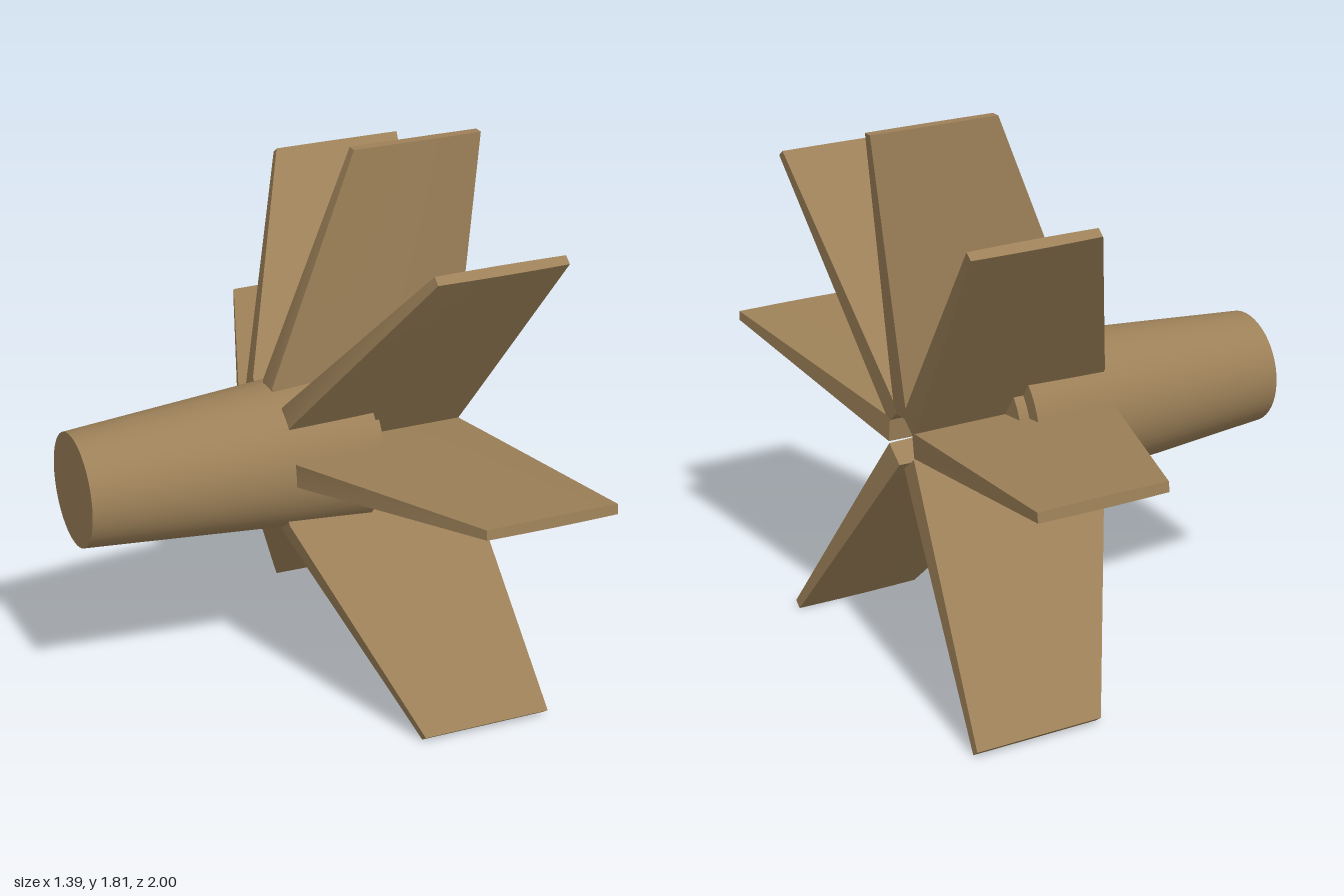
import * as THREE from 'three';
import { toCreasedNormals } from 'three/addons/utils/BufferGeometryUtils.js';

const AXIS_Y = 0.805;
const material = new THREE.MeshStandardMaterial({ color: 0x9c8058 });

// Fin standing along +y: stacked chord sections, each slightly lens-shaped.
function finGeometry() {
  // leading x, trailing x, radius from the axis, half thickness
  const rows = [
    [-0.035, 0.6, 0.08, 0.047],
    [-0.035, 0.617, 0.25, 0.042],
    [0.25, 0.69, 1.005, 0.018],
  ];
  const steps = 8;
  const ring = 2 * (steps + 1);
  const positions = [];
  const index = [];
  for (const [lead, trail, radius, half] of rows) {
    for (let i = 0; i < ring; i++) {
      const front = i <= steps;
      const u = (front ? i : ring - 1 - i) / steps;
      const t = half * (0.9 + 0.1 * Math.sin(Math.PI * u));
      positions.push(lead + (trail - lead) * u, radius, front ? t : -t);
    }
  }
  // side skin
  for (let j = 0; j < rows.length - 1; j++) {
    for (let i = 0; i < ring; i++) {
      const a = j * ring + i;
      const b = j * ring + ((i + 1) % ring);
      index.push(a, b, a + ring, b, b + ring, a + ring);
    }
  }
  // root and tip caps
  const top = (rows.length - 1) * ring;
  for (let i = 1; i < ring - 1; i++) {
    index.push(0, i + 1, i, top, top + i, top + i + 1);
  }
  const geometry = new THREE.BufferGeometry();
  geometry.setAttribute('position', new THREE.Float32BufferAttribute(positions, 3));
  geometry.setIndex(index);
  return toCreasedNormals(geometry, 0.6);
}

// Round section lying along x, from x0 to x1.
function barrel(name, x0, r0, x1, r1) {
  const geometry = new THREE.CylinderGeometry(r1, r0, x1 - x0, 48);
  geometry.rotateZ(-Math.PI / 2);
  const mesh = new THREE.Mesh(geometry, material);
  mesh.name = name;
  mesh.position.set((x0 + x1) / 2, AXIS_Y, 0);
  return mesh;
}

export function createModel() {
  const model = new THREE.Group();
  model.name = 'finnedTail';

  // tapered body with a smaller step on its wide end
  model.add(barrel('body', -0.7, 0.187, 0.25, 0.262));
  model.add(barrel('endStep', 0.25, 0.208, 0.285, 0.208));

  // seven fins around the axis, mirrored about the upright one
  const fins = new THREE.Group();
  fins.name = 'fins';
  fins.position.y = AXIS_Y;
  const geometry = finGeometry();
  for (const degrees of [0, 37.8, -37.8, 82.6, -82.6, 142.2, -142.2]) {
    const fin = new THREE.Mesh(geometry, material);
    fin.name = 'fin';
    fin.rotation.x = THREE.MathUtils.degToRad(degrees);
    fins.add(fin);
  }
  model.add(fins);
  return model;
}
